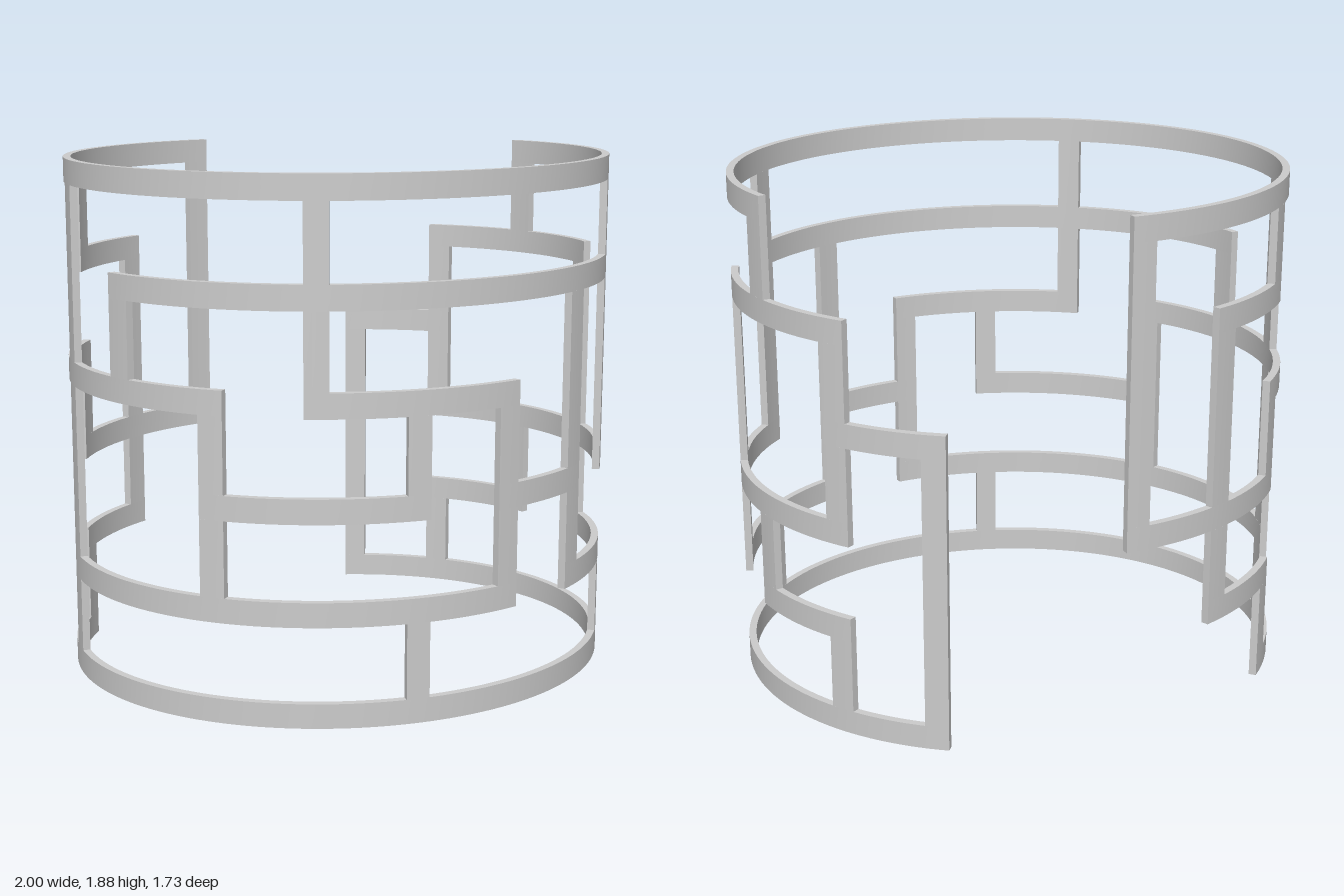
import * as THREE from 'three';

// Open elliptical cuff made of a lattice of flat bars on a grid of 15 columns and 6 rows
const RX = 1, RZ = 0.884, CZ = -0.021, THICK = 0.027;
const STEP = Math.PI / 8, HALF = 0.047; // column spacing and half bar width, in radians
const PITCH = 0.3575, BAR = 0.0875;     // row spacing and bar height

// Horizontal bars: for each row, pairs of first and last column
const ROWS = [
  [[-5, 7]],
  [[-6, -5], [-4, 1], [2, 4], [5, 6]],
  [[-7, -5], [-2, 0], [1, 2], [3, 6]],
  [[-5, -2], [-1, 1], [6, 7]],
  [[-6, -5], [-3, 3], [4, 6]],
  [[-7, 5]],
];

// Upright bars: column, lowest row, highest row
const POSTS = [
  [-7, 2, 5], [-6, 1, 4], [-5, 0, 1], [-5, 2, 3], [-5, 4, 5], [-4, 0, 5],
  [-3, 3, 4], [-2, 1, 3], [-1, 3, 5], [0, 0, 1], [0, 2, 3], [1, 1, 3],
  [2, 1, 4], [3, 0, 1], [3, 2, 5], [4, 1, 4], [5, 1, 2], [5, 4, 5],
  [6, 0, 1], [6, 2, 4], [7, 0, 3],
];

// Point on an ellipse of given half axes, at polar angle a from the front
function onEllipse(a, rx, rz) {
  const s = Math.sin(a), c = Math.cos(a);
  const r = 1 / Math.hypot(s / rx, c / rz);
  return [r * s, r * c + CZ];
}

// Box wrapped round the ellipse
function curvedBar(a0, a1, y0, y1) {
  const segs = Math.max(3, Math.ceil((a1 - a0) / 0.04));
  const geo = new THREE.BoxGeometry(1, 1, 1, segs, 1, 1);
  const p = geo.attributes.position;
  for (let i = 0; i < p.count; i++) {
    const a = a0 + (p.getX(i) + 0.5) * (a1 - a0);
    const inset = p.getZ(i) > 0 ? 0 : THICK;
    const [x, z] = onEllipse(a, RX - inset, RZ - inset);
    p.setXYZ(i, x, p.getY(i) > 0 ? y1 : y0, z);
  }
  geo.computeVertexNormals();
  return geo;
}

export function createModel() {
  const model = new THREE.Group();
  model.name = 'latticeCuff';
  const mat = new THREE.MeshStandardMaterial({ color: 0xcccccc });
  const add = (name, c0, c1, y0, y1) => {
    const geo = curvedBar(c0 * STEP - HALF, c1 * STEP + HALF, y0, y1);
    const mesh = new THREE.Mesh(geo, mat);
    mesh.name = name;
    model.add(mesh);
  };

  // Rims and horizontal bars
  ROWS.forEach((spans, r) => {
    const name = r === 0 ? 'bottomRim' : r === 5 ? 'topRim' : 'horizontalBar';
    for (const [c0, c1] of spans) add(name, c0, c1, r * PITCH, r * PITCH + BAR);
  });

  // Uprights, interrupted where a horizontal bar crosses them
  const covered = (r, c) => ROWS[r].some(([c0, c1]) => c >= c0 && c <= c1);
  for (const [c, r0, r1] of POSTS) {
    let from = r0 * PITCH + BAR;
    for (let r = r0 + 1; r <= r1; r++) {
      if (!covered(r, c)) continue;
      add('uprightBar', c, c, from, r * PITCH);
      from = r * PITCH + BAR;
    }
  }
  return model;
}
